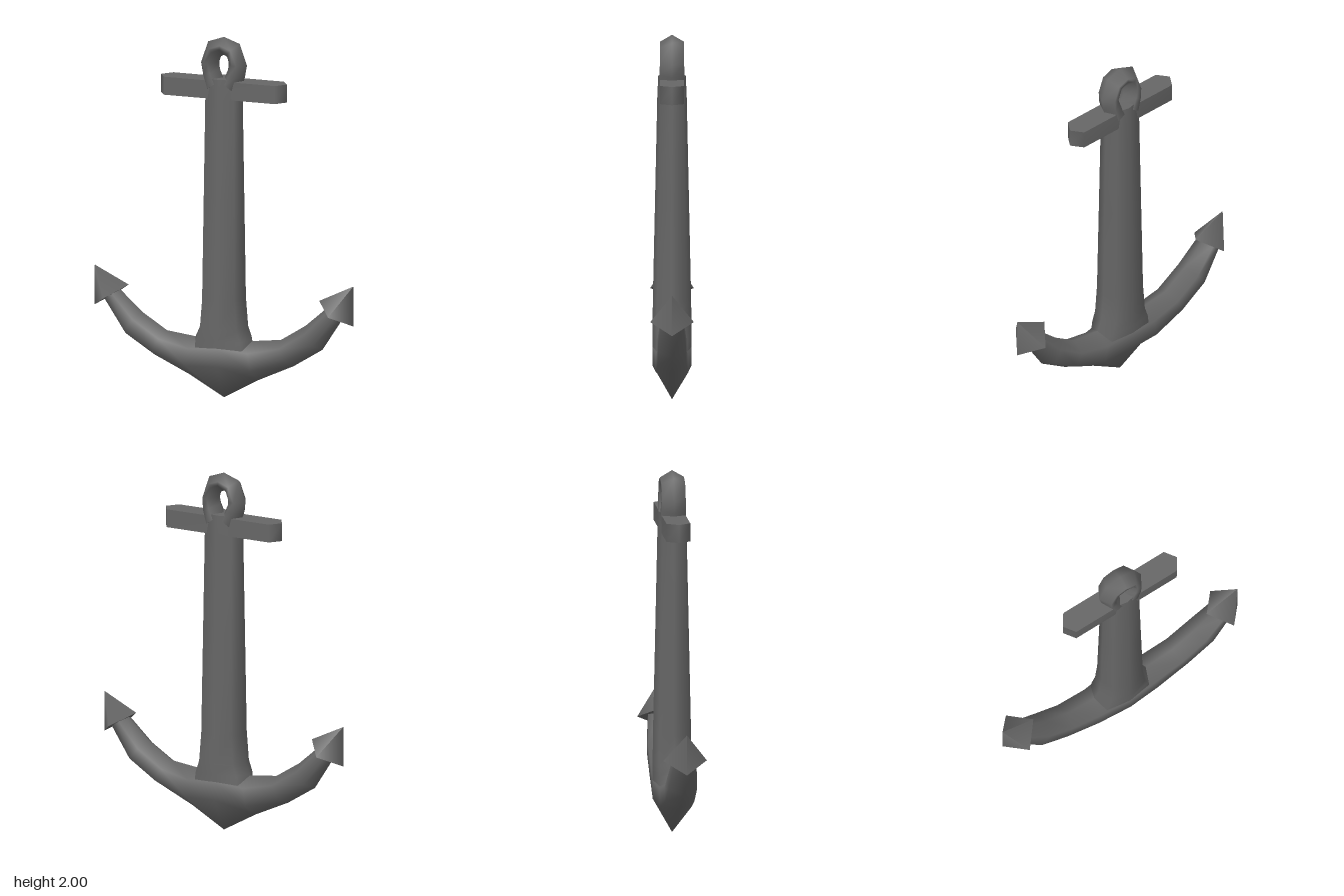
import * as THREE from 'three';

const iron = new THREE.MeshStandardMaterial({ color: 0x666666 });
iron.name = 'dark iron';

// Skins a row of closed cross-sections, smooth along the sides, with flat end caps
function loft(name, sections) {
  const n = sections[0].length, pos = [], idx = [];
  sections.forEach(s => s.forEach(p => pos.push(...p)));
  for (let i = 0; i < sections.length - 1; i++) {
    for (let j = 0; j < n; j++) {
      const a = i * n + j, b = i * n + (j + 1) % n;
      idx.push(a, b, b + n, a, b + n, a + n);
    }
  }
  [sections[0], sections[sections.length - 1]].forEach((s, end) => {
    const base = pos.length / 3;
    s.forEach(p => pos.push(...p));
    for (let j = 1; j < n - 1; j++) {
      if (end) idx.push(base, base + j, base + j + 1);
      else idx.push(base, base + j + 1, base + j);
    }
  });
  const geo = new THREE.BufferGeometry();
  geo.setAttribute('position', new THREE.Float32BufferAttribute(pos, 3));
  geo.setIndex(idx);
  geo.computeVertexNormals();
  const mesh = new THREE.Mesh(geo, iron);
  mesh.name = name;
  return mesh;
}

// Hexagonal section from an inner point to an outer point, with shoulders at +-z
function hexSection([ix, iy, ox, oy, z, lo, hi]) {
  const at = (t, depth) => [ix + (ox - ix) * t, iy + (oy - iy) * t, depth];
  return [at(1, 0), at(hi, z), at(lo, z), at(0, 0), at(lo, -z), at(hi, -z)];
}

// Mirrors a half that starts on the centre line and runs towards +x
function mirrored(half) {
  const left = half.slice(1).reverse().map(([ix, iy, ox, oy, ...rest]) => [-ix, iy, -ox, oy, ...rest]);
  return [...left, ...half].map(hexSection);
}

export function createModel() {
  const anchor = new THREE.Group();
  anchor.name = 'anchor';

  // Tapering shank, flared where it meets the arms: y, half width, half depth
  const shank = [
    [0.19, 0.19, 0.105], [0.33, 0.165, 0.106], [0.39, 0.138, 0.106], [0.55, 0.122, 0.104],
    [1.1, 0.115, 0.092], [1.66, 0.108, 0.08], [1.775, 0.105, 0.075],
  ].map(([y, w, d]) => {
    const c = 0.78;
    return [[0, 1], [c, c], [1, 0], [c, -c], [0, -1], [-c, -c], [-1, 0], [-c, c]]
      .map(([x, z]) => [x * w, y, z * d]);
  });
  anchor.add(loft('shank', shank));

  // Curved arms with the pointed crown in the middle
  anchor.add(loft('arms', mirrored([
    [0, 0, 0, 0.34, 0.106, 0.55, 0.85],
    [0.2, 0.11, 0.165, 0.325, 0.088, 0.3, 0.75],
    [0.41, 0.205, 0.335, 0.345, 0.08, 0.25, 0.75],
    [0.58, 0.31, 0.48, 0.435, 0.078, 0.25, 0.75],
    [0.705, 0.5, 0.625, 0.56, 0.06, 0.25, 0.75],
  ])));

  // Eye ring with a teardrop hole
  anchor.add(loft('eyeRing', mirrored([
    [0, 1.9, 0, 2, 0.065, 0.4, 0.62],
    [0.018, 1.89, 0.093, 1.968, 0.065, 0.4, 0.62],
    [0.028, 1.86, 0.135, 1.85, 0.065, 0.4, 0.65],
    [0.024, 1.82, 0.122, 1.78, 0.067, 0.35, 0.7],
    [0, 1.765, 0.1, 1.7, 0.07, 0.3, 0.7],
  ])));

  // Crossbar with pointed ends
  const bar = [[0.325, 0.065], [0.37, 0], [0.325, -0.065], [-0.325, -0.065], [-0.37, 0], [-0.325, 0.065]];
  anchor.add(loft('stock', [1.665, 1.765].map(y => bar.map(([x, z]) => [x, y, z]))));

  // Four-sided pyramid flukes at the arm tips
  for (const side of [-1, 1]) {
    const fluke = new THREE.Mesh(new THREE.ConeGeometry(0.119, 0.187, 4), iron);
    fluke.name = side > 0 ? 'leftFluke' : 'rightFluke';
    fluke.position.set(side * 0.711, 0.596, 0);
    fluke.rotation.z = -side * 0.56;
    anchor.add(fluke);
  }
  return anchor;
}
